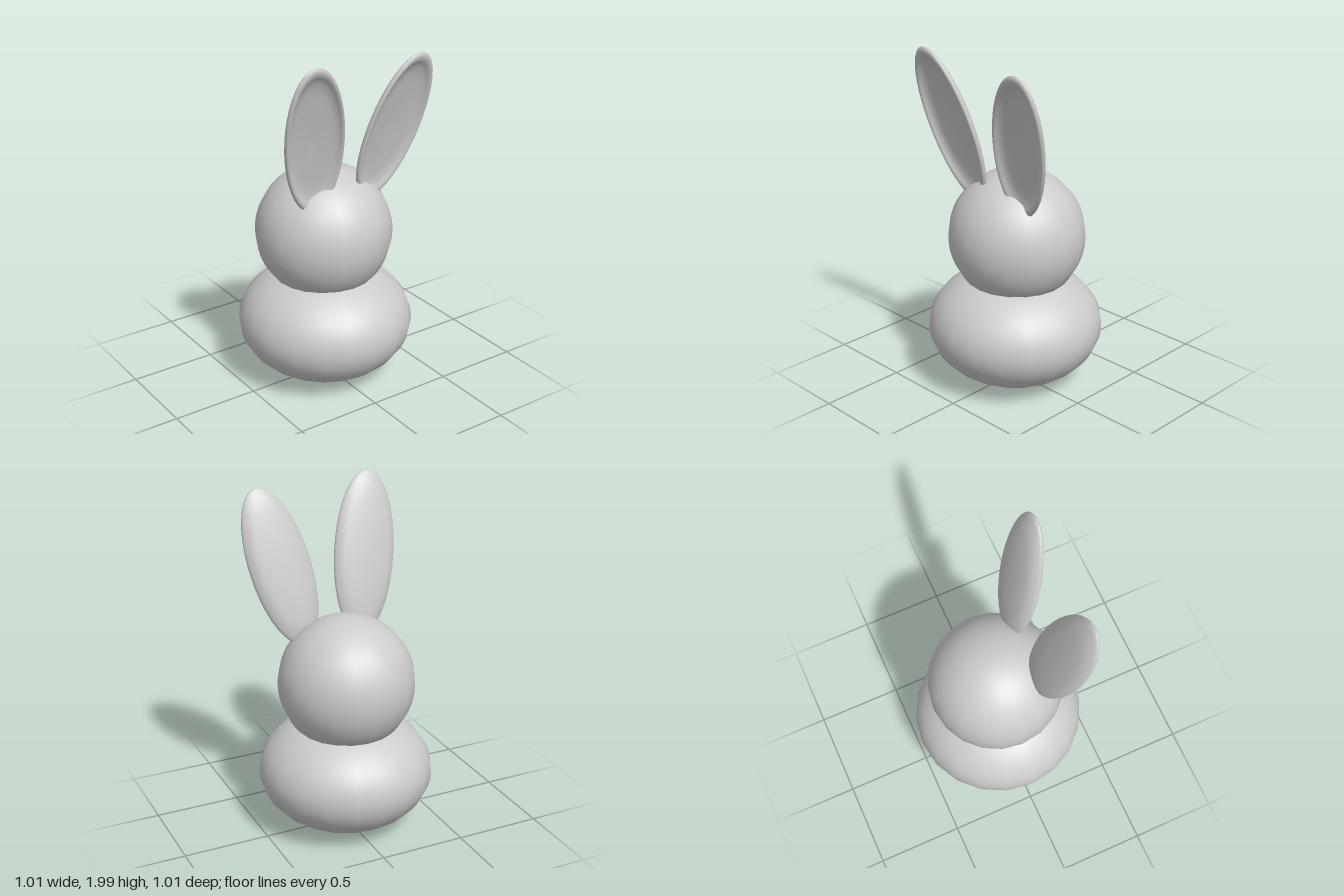
import * as THREE from 'three';

const material = new THREE.MeshStandardMaterial({ color: 0xcccccc });

// Squashed ball with 20 sides around
function ball(name, rx, ry, y, z) {
  const geometry = new THREE.SphereGeometry(1, 20, 32).scale(rx, ry, rx);
  const mesh = new THREE.Mesh(geometry, material);
  mesh.name = name;
  mesh.position.set(0, y, z);
  return mesh;
}

// Spoon-shaped ear: rounded back, raised rim and hollow front
function ear(name, halfWidth, halfLength, x, y, z, tilt) {
  const section = new THREE.SplineCurve([
    [0, -0.05], [0.4, -0.046], [0.75, -0.032], [0.94, -0.009], [1, 0.009],
    [0.965, 0.023], [0.9, 0.021], [0.8, 0.003], [0.6, -0.009], [0, -0.018],
  ].map(([r, d]) => new THREE.Vector2(r, d))).getPoints(40);
  section[0].x = section[40].x = 0;
  const geometry = new THREE.LatheGeometry(section, 40)
    .rotateX(Math.PI / 2)
    .scale(halfWidth, halfLength, 1);
  const mesh = new THREE.Mesh(geometry, material);
  mesh.name = name;
  mesh.position.set(x, y, z);
  mesh.rotation.set(THREE.MathUtils.degToRad(15), 0, THREE.MathUtils.degToRad(tilt));
  return mesh;
}

export function createModel() {
  const model = new THREE.Group();
  model.name = 'rabbit';
  model.add(
    ball('body', 0.503, 0.346, 0.348, 0),
    ball('head', 0.391, 0.391, 0.895, -0.013),
    // The two ears differ slightly in size and tilt
    ear('rightEar', 0.186, 0.472, -0.24, 1.55, 0.246, 10),
    ear('leftEar', 0.183, 0.458, 0.278, 1.536, 0.246, -12),
  );
  return model;
}
